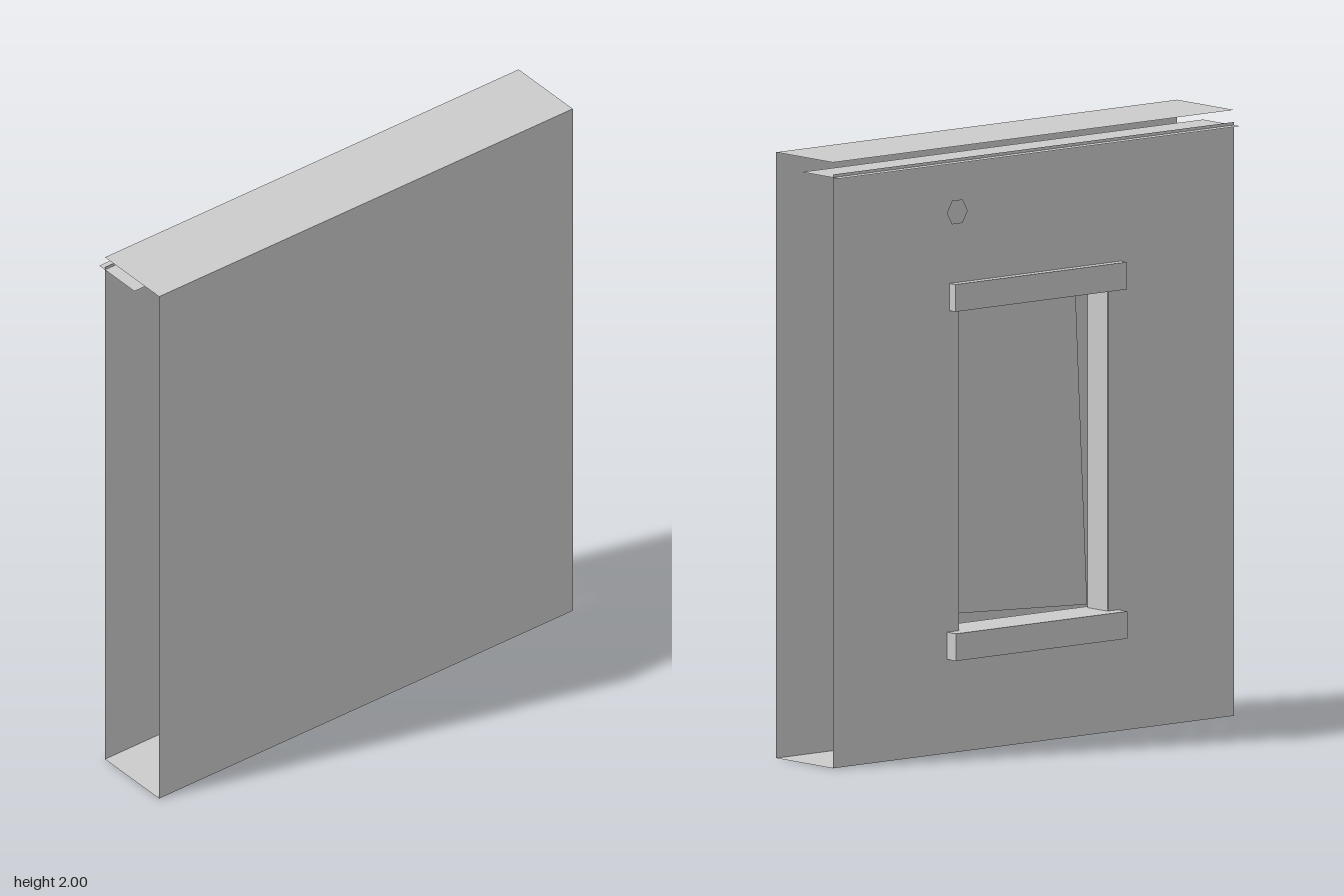
import * as THREE from 'three';

const mat = new THREE.MeshStandardMaterial({ color: 0xcccccc, flatShading: true, side: THREE.DoubleSide });

export function createModel() {
  const model = new THREE.Group();
  const D = 0.86, WALL = -0.12, BACK = 0.165; // half length, window wall and plain wall

  const add = (name, geometry, x = 0, y = 0, z = 0) => {
    const mesh = new THREE.Mesh(geometry, mat);
    mesh.name = name;
    mesh.position.set(x, y, z);
    model.add(mesh);
    return mesh;
  };
  // Horizontal sheet between two x values
  const sheet = (name, x0, x1, y, z0 = -D, z1 = D) =>
    add(name, new THREE.PlaneGeometry(x1 - x0, z1 - z0).rotateX(-Math.PI / 2), (x0 + x1) / 2, y, (z0 + z1) / 2);
  const box = (name, x0, x1, y0, y1, z0, z1) =>
    add(name, new THREE.BoxGeometry(x1 - x0, y1 - y0, z1 - z0), (x0 + x1) / 2, (y0 + y1) / 2, (z0 + z1) / 2);
  // Flat polygon facing -x, given as [z, y] corners
  const polygon = (corners) => new THREE.Shape(corners.map(([z, y]) => new THREE.Vector2(z, y)));
  const facing = (shape) => new THREE.ShapeGeometry(shape).rotateY(-Math.PI / 2);

  // Outer shell, open at both ends
  sheet('floor', WALL, BACK, 0);
  sheet('roof', WALL, BACK, 2);
  sheet('eavesStrip', -0.15, 0.035, 1.95);
  add('plainWall', new THREE.PlaneGeometry(2 * D, 2).rotateY(Math.PI / 2), BACK, 1, 0);

  // Wall with a window opening
  const wall = polygon([[-D, 0], [D, 0], [D, 1.96], [-D, 1.96]]);
  wall.holes.push(polygon([[-0.32, 0.38], [-0.32, 1.48], [0.32, 1.48], [0.32, 0.38]]));
  add('windowWall', facing(wall), WALL, 0, 0);

  // Window reveal, sill, lintel and slightly crooked pane
  for (const side of [-1, 1]) {
    add('windowReveal', new THREE.PlaneGeometry(0.1, 1.06), -0.07, 0.93, side * 0.318);
  }
  box('windowSill', -0.165, 0, 0.31, 0.4, -0.37, 0.365);
  box('windowLintel', -0.15, 0.02, 1.46, 1.55, -0.36, 0.375);
  add('windowPane', facing(polygon([[-0.32, 0.44], [0.32, 0.41], [0.27, 1.45], [-0.32, 1.45]])), -0.015, 0, 0);

  // Small plate above the window
  add('wallPlate', new THREE.CircleGeometry(0.045, 6).rotateY(-Math.PI / 2), -0.13, 1.785, -0.335);

  return model;
}
